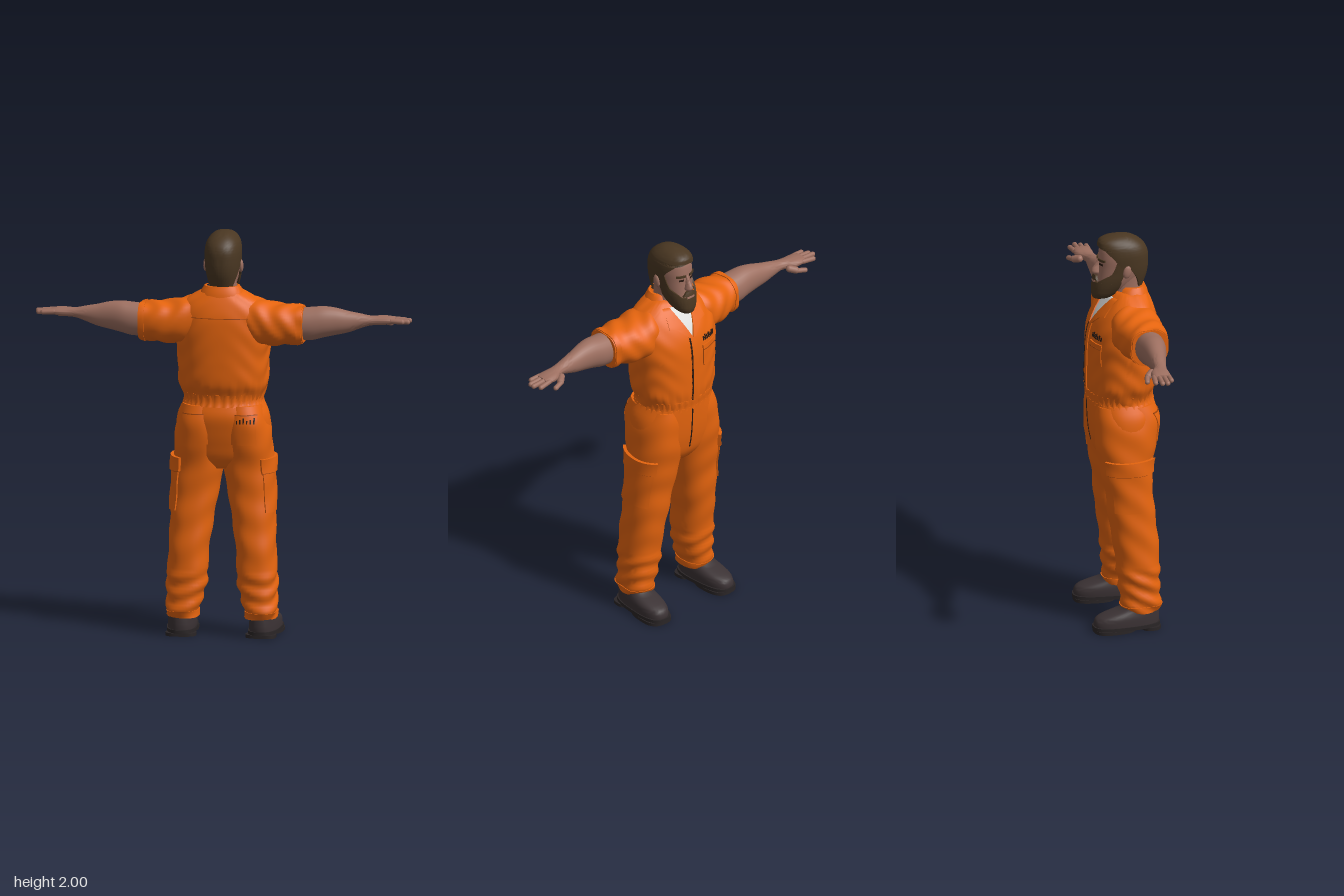
import * as THREE from 'three';
import { toCreasedNormals } from 'three/addons/utils/BufferGeometryUtils.js';

const { sin, cos, abs, sign, PI } = Math;
const rad = (d) => d * PI / 180;

// Surface through rows [t, a0, a1, b0, b1]; t runs along the axis, a and b are the extents across it
function surface(rows, { axis = 'y', p = 2.3, bump = () => 0 } = {}) {
  const f = new THREE.CubicInterpolant(rows.map((r) => r[0]), rows.flatMap((r) => r.slice(1)), 4, new Float32Array(4));
  const at = (t, a, off = 0, scale = 1) => {
    const [a0, a1, b0, b1] = f.evaluate(t);
    const c = cos(a), s = sin(a), o = off + bump(t, a);
    const u = (a0 + a1) / 2 + scale * (sign(c) * abs(c) ** (2 / p) * (a1 - a0) / 2 + c * o);
    const v = (b0 + b1) / 2 + scale * (sign(s) * abs(s) ** (2 / p) * (b1 - b0) / 2 + s * o);
    return axis === 'y' ? [u, t, v] : [t, u, v];
  };
  // angle at which the surface has the given x, on the -z or +z side
  const angle = (t, x, side) => {
    const [a0, a1] = f.evaluate(t);
    const k = (2 * x - a0 - a1) / (a1 - a0);
    const d = sign(k) * Math.asin(Math.min(1, abs(k)) ** (p / 2));
    return side < 0 ? -PI / 2 + d : PI / 2 - d;
  };
  return { at, angle, axis, t0: rows[0][0], t1: rows[rows.length - 1][0] };
}

function grid(nu, nv, point, flip) {
  const pos = [], idx = [];
  for (let i = 0; i <= nu; i++) for (let j = 0; j <= nv; j++) pos.push(...point(i, j));
  for (let i = 0; i < nu; i++) for (let j = 0; j < nv; j++) {
    const a = i * (nv + 1) + j, b = a + nv + 1;
    idx.push(...(flip ? [a, a + 1, b, b, a + 1, b + 1] : [a, b, a + 1, b, b + 1, a + 1]));
  }
  const g = new THREE.BufferGeometry();
  g.setAttribute('position', new THREE.Float32BufferAttribute(pos, 3));
  g.setIndex(idx);
  return toCreasedNormals(g, 0.95);
}

// Whole closed body of a surface
function body(s, nt = 24, na = 36) {
  return grid(nt + 2, na, (i, j) => {
    const k = Math.min(nt, Math.max(0, i - 1));
    return s.at(s.t0 + (s.t1 - s.t0) * k / nt, (j % na) / na * 2 * PI, 0, i === 0 || i === nt + 2 ? 0 : 1);
  }, s.axis === 'x');
}

// Raised piece of a surface between angles lo(t) and hi(t), its rim tucked in
function patch(s, t0, t1, lo, hi, off = 0.006, nt = 8, na = 10) {
  return grid(nt + 2, na + 2, (i, j) => {
    const k = Math.min(nt, Math.max(0, i - 1)), m = Math.min(na, Math.max(0, j - 1));
    const rim = i === 0 || j === 0 || i === nt + 2 || j === na + 2;
    const t = t0 + (t1 - t0) * k / nt, a = lo(t), b = hi(t);
    return s.at(t, a + (b - a) * m / na, rim ? -0.008 : off);
  }, s.axis === 'x');
}
function patchX(s, side, t0, t1, x0, x1, off, nt, na) {
  const e = (x) => (t) => s.angle(t, typeof x === 'function' ? x(t) : x, side);
  return side < 0 ? patch(s, t0, t1, e(x0), e(x1), off, nt, na) : patch(s, t0, t1, e(x1), e(x0), off, nt, na);
}

function mirrorX(src) {
  const g = src.clone().scale(-1, 1, 1);
  for (const n of ['position', 'normal']) {
    const a = g.attributes[n].array;
    for (let i = 0; i < a.length; i += 9) for (let k = 0; k < 3; k++) [a[i + k], a[i + 6 + k]] = [a[i + 6 + k], a[i + k]];
  }
  return g;
}

function rod(a, b, r) {
  const A = new THREE.Vector3(...a), d = new THREE.Vector3(...b).sub(A);
  const g = new THREE.CapsuleGeometry(r, Math.max(0.001, d.length() - 2 * r), 5, 10);
  g.applyQuaternion(new THREE.Quaternion().setFromUnitVectors(new THREE.Vector3(0, 1, 0), d.clone().normalize()));
  return g.translate(...A.addScaledVector(d, 0.5).toArray()).toNonIndexed();
}

// Piecewise linear lookup in [t, value] pairs
const lerpTable = (tab) => (t) => {
  let i = 0;
  while (i < tab.length - 2 && t > tab[i + 1][0]) i++;
  const [a, b] = [tab[i], tab[i + 1]];
  return THREE.MathUtils.mapLinear(THREE.MathUtils.clamp(t, a[0], b[0]), a[0], b[0], a[1], b[1]);
};
const sym = (rows) => rows.map(([y, x, z0, z1]) => [y, -x, x, z0, z1]);

export function createModel() {
  const group = new THREE.Group();
  const mat = (name, color) => { const m = new THREE.MeshStandardMaterial({ color }); m.name = name; return m; };
  const orange = mat('orange cloth', 0xe5640e), seam = mat('seam', 0x9c430b), skin = mat('skin', 0x9d6f60);
  const hair = mat('brown hair', 0x4a3722), boot = mat('boot leather', 0x3b3234), sole = mat('boot sole', 0x2a2526);
  const white = mat('white undershirt', 0xdcdcda), dark = mat('dark print', 0x2b1a12);
  const add = (name, geo, m, both = false) => {
    for (const g of both ? [geo, mirrorX(geo)] : [geo]) {
      const mesh = new THREE.Mesh(g, m);
      mesh.name = name;
      group.add(mesh);
    }
  };

  // Shirt half of the coverall
  const torso = surface(sym([[1.16, 0.19, -0.16, 0.15], [1.2, 0.2, -0.164, 0.155], [1.25, 0.218, -0.168, 0.174],
    [1.35, 0.222, -0.166, 0.18], [1.45, 0.23, -0.162, 0.18], [1.53, 0.235, -0.148, 0.178], [1.6, 0.225, -0.115, 0.17],
    [1.65, 0.2, -0.08, 0.155], [1.69, 0.14, -0.05, 0.138], [1.715, 0.095, -0.03, 0.125]]),
  { bump: (t, a) => 0.003 * sin(55 * t + 4 * sin(3 * a)) * abs(cos(a)) + 0.003 * sin(30 * a) * Math.max(0, 1 - abs(t - 1.21) * 14) });
  add('shirt', body(torso, 44, 96), orange);
  const waist = surface(sym([[1.145, 0.2, -0.162, 0.162], [1.165, 0.193, -0.162, 0.156], [1.195, 0.195, -0.166, 0.156], [1.205, 0.199, -0.166, 0.158]]),
    { bump: (t, a) => 0.003 * sin(36 * a) });
  add('waistband', body(waist, 6, 144), orange);

  // Sleeves
  const sleeve = surface([[0.1, 1.5, 1.69, -0.05, 0.14], [0.18, 1.45, 1.672, -0.085, 0.16], [0.25, 1.445, 1.655, -0.08, 0.165],
    [0.33, 1.452, 1.65, -0.058, 0.162], [0.385, 1.458, 1.645, -0.042, 0.15], [0.405, 1.462, 1.642, -0.036, 0.146]],
  { axis: 'x', bump: (t, a) => 0.004 * sin(60 * t + 3 * sin(2 * a)) });
  add('sleeve', body(sleeve, 28, 40), orange, true);
  add('sleeve hem', patch(sleeve, 0.375, 0.4, () => 0, () => 2 * PI, 0.004, 2, 40), orange, true);

  // Open collar, undershirt and placket
  const vee = (y) => Math.max(0, (y - 1.545) * 0.42);
  add('undershirt', patchX(torso, -1, 1.548, 1.69, (y) => -vee(y), vee, 0.003), white);
  const lapelOuter = lerpTable([[1.54, 0.012], [1.6, 0.075], [1.605, 0.11], [1.69, 0.095]]);
  add('lapel', patchX(torso, -1, 1.545, 1.69, vee, lapelOuter, 0.009, 16, 8), orange, true);
  const collar = surface(sym([[1.685, 0.112, -0.03, 0.136], [1.71, 0.1, -0.02, 0.13], [1.738, 0.082, 0, 0.118]]));
  add('collar', patch(collar, 1.685, 1.738, () => rad(-50), () => rad(230), 0.004, 4, 40), orange);
  add('placket', patchX(torso, -1, 1.2, 1.55, -0.022, 0.022, 0.005, 12, 4), orange);
  add('zip', patchX(torso, -1, 1.2, 1.548, 0.016, 0.022, 0.007, 12, 2), dark);
  add('yoke seam', patchX(torso, 1, 1.587, 1.59, -0.18, 0.18, 0.002, 1, 20), seam);

  // Chest pocket and printed bars
  add('chest pocket', patchX(torso, -1, 1.37, 1.48, -0.155, -0.055, 0.006), orange);
  add('chest pocket seam', patchX(torso, -1, 1.455, 1.458, -0.153, -0.057, 0.008, 1, 8), seam);
  for (let i = 0; i < 7; i++) {
    const x = -0.15 + i * 0.013;
    add('chest print bar', patchX(torso, -1, 1.5, 1.52 + (i % 2) * 0.006, x, x + 0.007, 0.003, 2, 2), dark);
  }

  // Trousers
  const hips = surface(sym([[0.83, 0.12, -0.09, 0.09], [0.88, 0.21, -0.125, 0.125], [0.95, 0.233, -0.145, 0.145],
    [1.02, 0.233, -0.155, 0.16], [1.1, 0.222, -0.16, 0.17], [1.16, 0.195, -0.162, 0.155]]));
  add('hips', body(hips, 20, 56), orange);
  add('fly', patchX(hips, -1, 0.92, 1.15, 0.012, 0.017, 0.003, 8, 2), dark);
  const leg = surface([[0.09, 0.122, 0.262, -0.028, 0.153], [0.13, 0.11, 0.272, -0.037, 0.158], [0.2, 0.092, 0.27, -0.045, 0.155],
    [0.26, 0.076, 0.273, -0.05, 0.155], [0.4, 0.07, 0.265, -0.065, 0.155], [0.55, 0.05, 0.26, -0.088, 0.142],
    [0.7, 0.025, 0.254, -0.103, 0.13], [0.82, 0.002, 0.248, -0.125, 0.13], [0.95, 0, 0.24, -0.145, 0.152],
    [1.05, 0.002, 0.228, -0.15, 0.17], [1.15, 0.01, 0.195, -0.14, 0.15]],
  { bump: (t, a) => (t < 0.32 ? 0.006 : 0.0025) * sin((t < 0.32 ? 75 : 38) * (t - 0.32) + 3 * sin(a) + sin(2 * a)) });
  add('trouser leg', body(leg, 64, 40), orange, true);
  add('trouser cuff', patch(leg, 0.095, 0.125, () => 0, () => 2 * PI, 0.004, 2, 40), orange, true);
  add('cargo pocket', patch(leg, 0.62, 0.86, () => rad(-50), () => rad(52), 0.008, 10, 14), orange, true);
  add('cargo flap', patch(leg, 0.815, 0.885, () => rad(-54), () => rad(56), 0.016, 4, 14), orange, true);
  add('cargo flap seam', patch(leg, 0.811, 0.815, () => rad(-53), () => rad(55), 0.011, 1, 14), seam, true);
  add('rear pocket', patchX(leg, 1, 0.96, 1.11, 0.06, 0.18, 0.004), orange, true);
  add('rear pocket seam', patchX(leg, 1, 1.108, 1.112, 0.06, 0.18, 0.005, 1, 8), seam, true);
  for (let i = 0; i < 6; i++) {
    const x = 0.085 + i * 0.016;
    add('rear print bar', patchX(leg, 1, 1.068, 1.085 + (i % 3) * 0.006, x, x + 0.006, 0.006, 2, 2), dark);
  }

  // Boots, turned slightly outward
  const turn = (g) => g.translate(-0.2, 0, 0).rotateY(-0.07).translate(0.203, 0, 0);
  const upper = surface([[0.02, 0.132, 0.272, -0.178, 0.148], [0.05, 0.13, 0.272, -0.178, 0.15], [0.075, 0.132, 0.27, -0.16, 0.149],
    [0.095, 0.137, 0.265, -0.1, 0.147], [0.11, 0.14, 0.262, -0.045, 0.145], [0.135, 0.142, 0.26, -0.025, 0.143]], { p: 2.5 });
  add('boot', turn(body(upper, 14, 36)), boot, true);
  const slab = (y0, y1, z0, z1) => turn(body(surface([[y0, 0.126, 0.276, z0, z1], [y1, 0.126, 0.276, z0, z1]], { p: 2.8 }), 1, 36));
  add('sole', slab(0.014, 0.032, -0.185, 0.153), sole, true);
  add('sole tread', slab(0, 0.016, -0.182, 0.025), sole, true);
  add('heel', slab(0, 0.016, 0.05, 0.152), sole, true);

  // Bare arms and hands
  const arm = surface([[0.36, 1.475, 1.632, -0.018, 0.13], [0.45, 1.477, 1.64, -0.018, 0.123], [0.5, 1.49, 1.644, -0.012, 0.115],
    [0.56, 1.503, 1.637, -0.006, 0.1], [0.62, 1.516, 1.622, -0.002, 0.085], [0.68, 1.537, 1.61, 0, 0.07],
    [0.72, 1.55, 1.601, 0, 0.062], [0.75, 1.553, 1.599, -0.012, 0.058], [0.78, 1.553, 1.599, -0.03, 0.058],
    [0.82, 1.557, 1.597, -0.035, 0.058], [0.85, 1.564, 1.59, -0.032, 0.056]], { axis: 'x', p: 2.1 });
  add('arm', body(arm, 36, 28), skin, true);
  [[-0.025, -0.034, 0.905], [-0.002, -0.004, 0.928], [0.022, 0.024, 0.922], [0.045, 0.048, 0.898]].forEach(([z0, z1, x], i) =>
    add('finger', rod([0.82, 1.578, z0], [x, 1.57 + (i % 2) * 0.004, z1], 0.0125), skin, true));
  add('thumb', rod([0.735, 1.572, -0.008], [0.785, 1.555, -0.052], 0.018), skin, true);
  add('thumb tip', rod([0.765, 1.56, -0.045], [0.83, 1.546, -0.06], 0.0125), skin, true);

  // Neck and head
  add('neck', body(surface(sym([[1.64, 0.085, -0.05, 0.11], [1.7, 0.07, -0.035, 0.1], [1.82, 0.068, -0.03, 0.105]])), 8, 28), skin);
  const head = surface(sym([[1.7, 0.04, -0.115, -0.02], [1.74, 0.062, -0.118, 0.06], [1.78, 0.073, -0.112, 0.1], [1.84, 0.08, -0.106, 0.125],
    [1.9, 0.081, -0.104, 0.13], [1.95, 0.068, -0.09, 0.105], [1.975, 0.045, -0.06, 0.07]]));
  add('head', body(head, 24, 40), skin);
  add('nose', body(surface(sym([[1.797, 0.009, -0.128, -0.09], [1.808, 0.019, -0.139, -0.09], [1.822, 0.016, -0.141, -0.09],
    [1.85, 0.009, -0.124, -0.09], [1.88, 0.008, -0.108, -0.09]]), { p: 2 }), 14, 16), skin);
  const ear = new THREE.SphereGeometry(1, 14, 10).scale(0.011, 0.033, 0.02).rotateX(0.2).translate(0.088, 1.828, 0.018).toNonIndexed();
  add('ear', ear, skin, true);
  add('eye', patchX(head, -1, 1.853, 1.862, 0.02, 0.043, 0.003, 2, 4), dark, true);
  add('eyebrow', patchX(head, -1, 1.874, 1.885, 0.012, 0.054, 0.006, 2, 6), hair, true);

  // Hair with an open face
  const mop = surface(sym([[1.735, 0.066, -0.03, 0.112], [1.8, 0.082, -0.09, 0.134], [1.86, 0.088, -0.1, 0.14], [1.92, 0.087, -0.108, 0.134],
    [1.955, 0.077, -0.108, 0.112], [1.98, 0.056, -0.095, 0.078], [1.993, 0.034, -0.06, 0.046], [2, 0.004, -0.01, 0.0]]));
  const gap = lerpTable([[1.735, 125], [1.79, 112], [1.83, 100], [1.85, 78], [1.9, 62], [1.935, 42], [1.945, 0], [2, 0]]);
  add('hair', patch(mop, 1.737, 2, (t) => rad(-90 + gap(t)), (t) => rad(270 - gap(t)), 0.001, 44, 48), hair);

  // Full beard
  const jaw = surface(sym([[1.668, 0.004, -0.105, -0.095], [1.675, 0.026, -0.128, -0.06], [1.69, 0.046, -0.137, -0.03], [1.73, 0.067, -0.139, 0.03],
    [1.78, 0.081, -0.131, 0.1], [1.82, 0.085, -0.115, 0.125], [1.88, 0.087, -0.108, 0.13]]));
  const back = lerpTable([[1.668, 180], [1.69, 170], [1.71, 115], [1.78, 92], [1.88, 86]]);
  const cheek = lerpTable([[1.765, 28], [1.785, 40], [1.81, 62], [1.88, 74]]);
  add('beard', patch(jaw, 1.668, 1.768, (t) => rad(-90 - back(t)), (t) => rad(-90 + back(t)), 0.001, 20, 40), hair);
  add('sideburn', patch(jaw, 1.765, 1.88, (t) => rad(-90 + cheek(t)), (t) => rad(-90 + back(t)), 0.001, 14, 10), hair, true);
  add('moustache', patchX(jaw, -1, 1.776, 1.798, (t) => -0.042 + (t - 1.776), (t) => 0.042 - (t - 1.776), 0.004, 4, 12), hair);
  add('lip', patchX(jaw, -1, 1.764, 1.776, -0.022, 0.022, 0.002, 2, 8), skin);
  return group;
}
